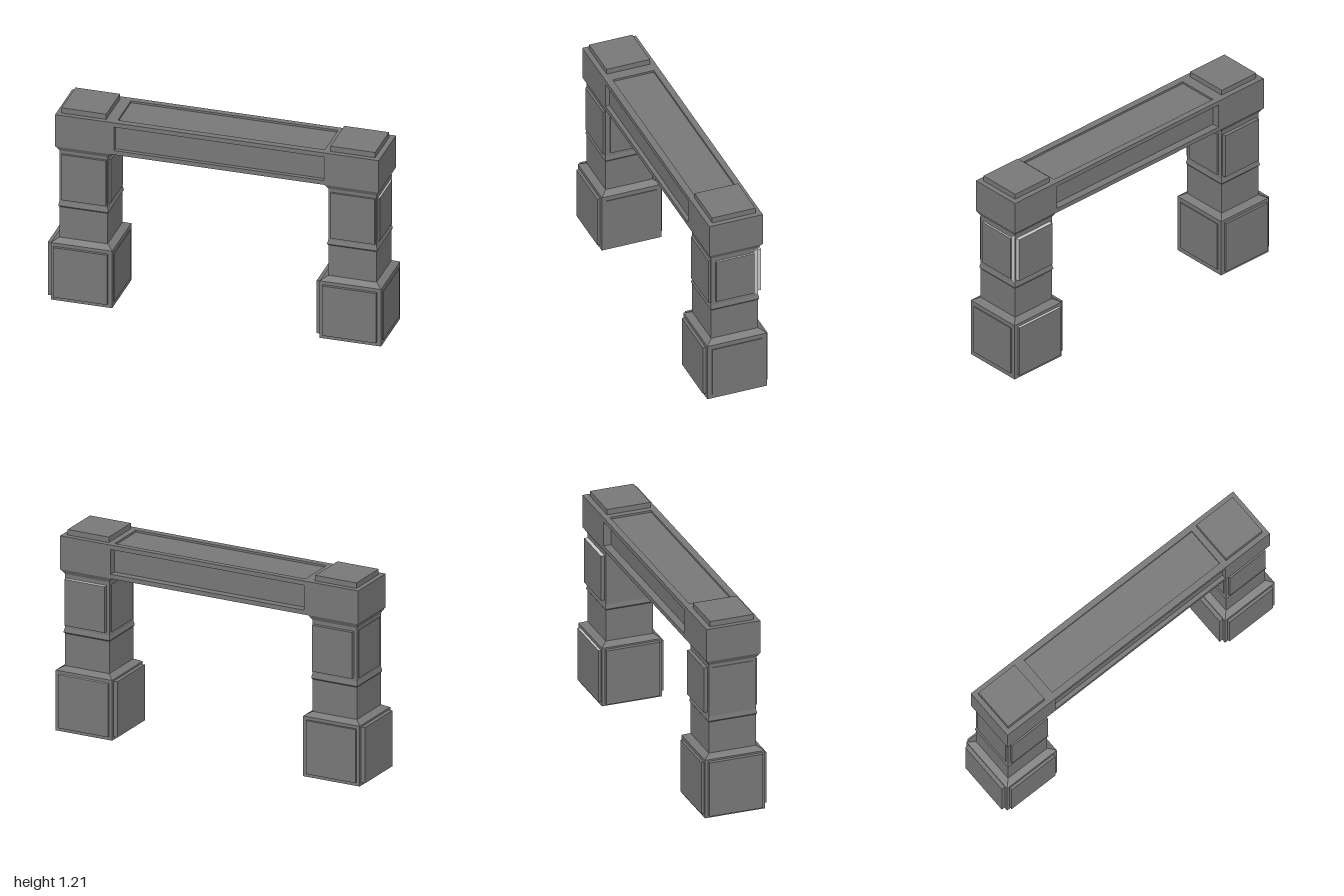
import * as THREE from 'three';

const stone = new THREE.MeshStandardMaterial({ color: 0x787878, flatShading: true });
const paleStone = new THREE.MeshStandardMaterial({ color: 0xcccccc, flatShading: true });

// Box given by its lower and upper bounds
function block(parent, name, x0, x1, y0, y1, z0, z1, material = stone) {
  const mesh = new THREE.Mesh(new THREE.BoxGeometry(x1 - x0, y1 - y0, z1 - z0), material);
  mesh.name = name;
  mesh.position.set((x0 + x1) / 2, (y0 + y1) / 2, (z0 + z1) / 2);
  parent.add(mesh);
}

// Square pillar with raised panels, centred on its own x = 0; trim is the stone of some panel edges
function makePillar(trim) {
  const pillar = new THREE.Group();

  // [half width, height] going up: plinth, shaft, collar, flared neck
  const profile = [
    [0, 0], [0.183, 0], [0.183, 0.365], [0.144, 0.387], [0.144, 0.582], [0.149, 0.589],
    [0.149, 0.594], [0.144, 0.617], [0.144, 0.942], [0.162, 0.973], [0, 0.973],
  ].map(([half, y]) => new THREE.Vector2(half * Math.SQRT2, y));
  const shaft = new THREE.Mesh(new THREE.LatheGeometry(profile, 4, Math.PI / 4), stone);
  shaft.name = 'pillarShaft';
  pillar.add(shaft);

  // Box sides in the order +x, -x, +y, -y, +z, -z
  const topEdge = [stone, stone, trim, stone, stone, stone];
  const topAndLeftEdge = [trim, stone, trim, stone, stone, stone];

  // Plinth panels
  block(pillar, 'plinthFrontPanel', -0.164, 0.158, 0.025, 0.343, 0.15, 0.2);
  block(pillar, 'plinthBackPanel', -0.164, 0.158, 0.022, 0.346, -0.198, -0.15, topEdge);
  block(pillar, 'plinthRightPanel', -0.207, -0.15, 0.017, 0.355, -0.164, 0.164);
  block(pillar, 'plinthLeftPanel', 0.15, 0.188, 0.03, 0.337, -0.155, 0.155);

  // Upper shaft panels
  block(pillar, 'shaftFrontPanel', -0.127, 0.137, 0.633, 0.923, 0.12, 0.158);
  block(pillar, 'shaftBackPanel', -0.125, 0.135, 0.638, 0.918, -0.167, -0.12, topAndLeftEdge);
  block(pillar, 'shaftRightPanel', -0.148, -0.12, 0.633, 0.923, -0.125, 0.125);
  block(pillar, 'shaftLeftPanel', 0.12, 0.155, 0.64, 0.914, -0.117, 0.117, topEdge);

  // Slab on top
  block(pillar, 'topSlab', -0.135, 0.132, 1.16, 1.21, -0.133, 0.133);
  return pillar;
}

// Crossbeam with recessed front, back and top faces
function makeBeam() {
  const beam = new THREE.Group();
  beam.name = 'crossbeam';
  const x0 = -0.605, x1 = 0.648, y0 = 0.973, y1 = 1.177, front = 0.163, back = -0.166;

  block(beam, 'rightCornerBlock', -0.957, x0, y0, y1, back, front);
  block(beam, 'leftCornerBlock', x1, 0.975, y0, y1, back, front);
  block(beam, 'beamCore', x0, x1, y0, 1.165, -0.121, 0.138);

  // Rails framing the recesses
  block(beam, 'frontLowerRail', x0, x1, y0, 1.0, 0.12, front);
  block(beam, 'frontUpperRail', x0, x1, 1.15, y1, 0.122, front);
  block(beam, 'backLowerRail', x0, x1, y0, 1.0, back, -0.11);
  block(beam, 'backUpperRail', x0, x1, 1.15, y1, back, -0.13);
  block(beam, 'topRecessBackFloor', x0, x1, 1.15, 1.165, -0.13, -0.12);
  block(beam, 'topRightRail', x0, x0 + 0.01, 1.15, y1, -0.13, 0.122);
  block(beam, 'topLeftRail', x1 - 0.008, x1, 1.15, y1, -0.13, 0.122);
  return beam;
}

export function createModel() {
  const model = new THREE.Group();
  model.name = 'archway';
  for (const [name, x, trim] of [['rightPillar', -0.793, stone], ['leftPillar', 0.812, paleStone]]) {
    const pillar = makePillar(trim);
    pillar.name = name;
    pillar.position.x = x;
    model.add(pillar);
  }

  // Pale strip beside the outer panel of the left pillar, tapering toward the panel
  const strip = new THREE.Mesh(new THREE.ShapeGeometry(new THREE.Shape([
    [0.117, 0.64], [0.143, 0.617], [0.143, 0.942], [0.117, 0.914],
  ].map(([z, y]) => new THREE.Vector2(z, y)))), paleStone);
  strip.name = 'paleEdgeStrip';
  strip.rotation.y = Math.PI / 2;
  strip.position.x = 0.958;
  model.add(strip);

  model.add(makeBeam());
  return model;
}
